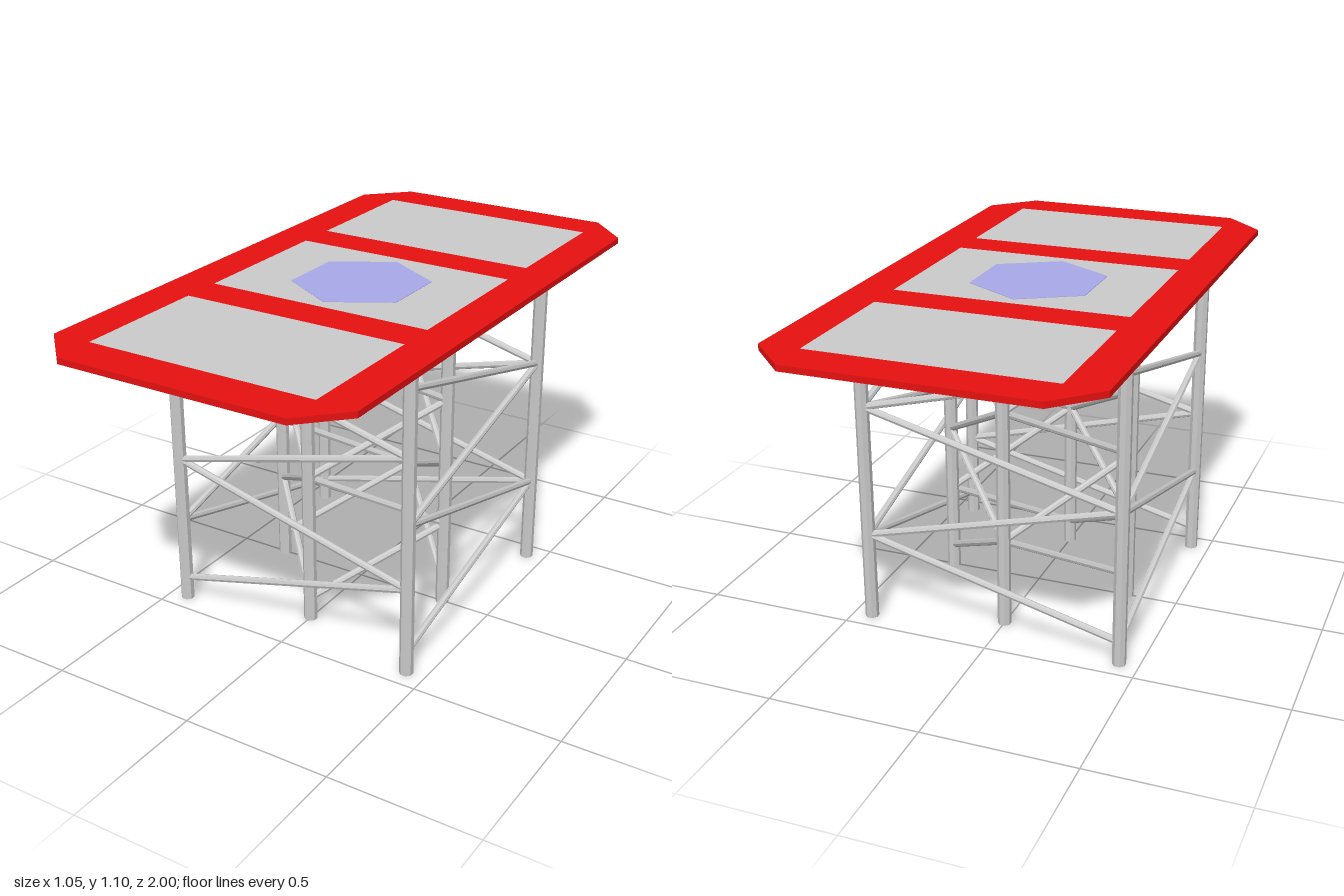
import * as THREE from 'three';

const material = (color) => new THREE.MeshStandardMaterial({ color, flatShading: true });

export function createModel() {
  const model = new THREE.Group();
  const grey = material(0xcccccc);
  const red = material(0xe81010);
  const blue = material(0xa9a9ea);

  const add = (name, geometry, mat, x = 0, y = 0, z = 0, parent = model) => {
    const mesh = new THREE.Mesh(geometry, mat);
    mesh.name = name;
    mesh.position.set(x, y, z);
    parent.add(mesh);
    return mesh;
  };

  // Table top: chamfered frame with one large opening
  const bottom = 1.075, thick = 0.02, half = thick / 2;
  const shape = new THREE.Shape([
    [-0.39, -1], [0.39, -1], [0.524, -0.866], [0.524, 0.866],
    [0.39, 1], [-0.39, 1], [-0.524, 0.866], [-0.524, -0.866],
  ].map(([x, z]) => new THREE.Vector2(x, z)));
  shape.holes.push(new THREE.Path([
    [-0.392, -0.862], [-0.392, 0.862], [0.392, 0.862], [0.392, -0.862],
  ].map(([x, z]) => new THREE.Vector2(x, z))));
  const frame = new THREE.ExtrudeGeometry(shape, { depth: thick, bevelEnabled: false });
  frame.rotateX(-Math.PI / 2);
  add('topFrame', frame, red, 0, bottom, 0);

  // Lower panel, with grey fields and red dividers flush above it
  add('underPanel', new THREE.BoxGeometry(0.784, half, 1.724), grey, 0, bottom + half / 2, 0);
  const strip = (name, z0, z1, mat) =>
    add(name, new THREE.BoxGeometry(0.784, half, z1 - z0), mat, 0, bottom + half * 1.5, (z0 + z1) / 2);
  strip('middlePanel', -0.265, 0.265, grey);
  for (const s of [-1, 1]) {
    strip('divider', s * 0.332 - 0.067, s * 0.332 + 0.067, red);
    strip('endPanel', s * 0.6305 - 0.2315, s * 0.6305 + 0.2315, grey);
  }

  // Hexagonal marker in the centre
  add('hexagonPlate', new THREE.CylinderGeometry(0.226, 0.226, 0.003, 6), blue, 0, bottom + thick, 0);

  // Legs: four corners of a square and four points of an inner diamond
  const c = 0.435, d = 0.325;
  const legs = {
    frontLeft: [-c, c], frontRight: [c, c], backRight: [c, -c], backLeft: [-c, -c],
    front: [0, d], right: [d, 0], back: [0, -d], left: [-d, 0],
  };
  const legGeometry = new THREE.CylinderGeometry(0.0228, 0.0228, bottom + 0.003, 8);
  legGeometry.rotateY(Math.PI / 8);
  for (const [x, z] of Object.values(legs)) {
    add('leg', legGeometry, grey, x, (bottom + 0.003) / 2, z);
  }

  // Zigzag bracing: four bars climbing between two legs, starting at the first
  const up = new THREE.Vector3(0, 1, 0);
  const zigzag = (from, to) => {
    const group = new THREE.Group();
    group.name = 'bracing';
    model.add(group);
    const node = (i) => {
      const [x, z] = legs[i % 2 ? to : from];
      return new THREE.Vector3(x, 0.079 + 0.225 * i, z);
    };
    for (let i = 0; i < 4; i++) {
      const a = node(i), b = node(i + 1);
      const m = a.clone().lerp(b, 0.5);
      const bar = add('brace', new THREE.CylinderGeometry(0.012, 0.012, a.distanceTo(b), 8), grey, m.x, m.y, m.z, group);
      bar.quaternion.setFromUnitVectors(up, b.sub(a).normalize());
    }
  };
  [
    ['frontLeft', 'frontRight'], ['frontRight', 'backRight'],
    ['backLeft', 'backRight'], ['backLeft', 'frontLeft'],
    ['front', 'right'], ['front', 'left'], ['right', 'back'], ['left', 'back'],
  ].forEach(([from, to]) => zigzag(from, to));

  return model;
}
